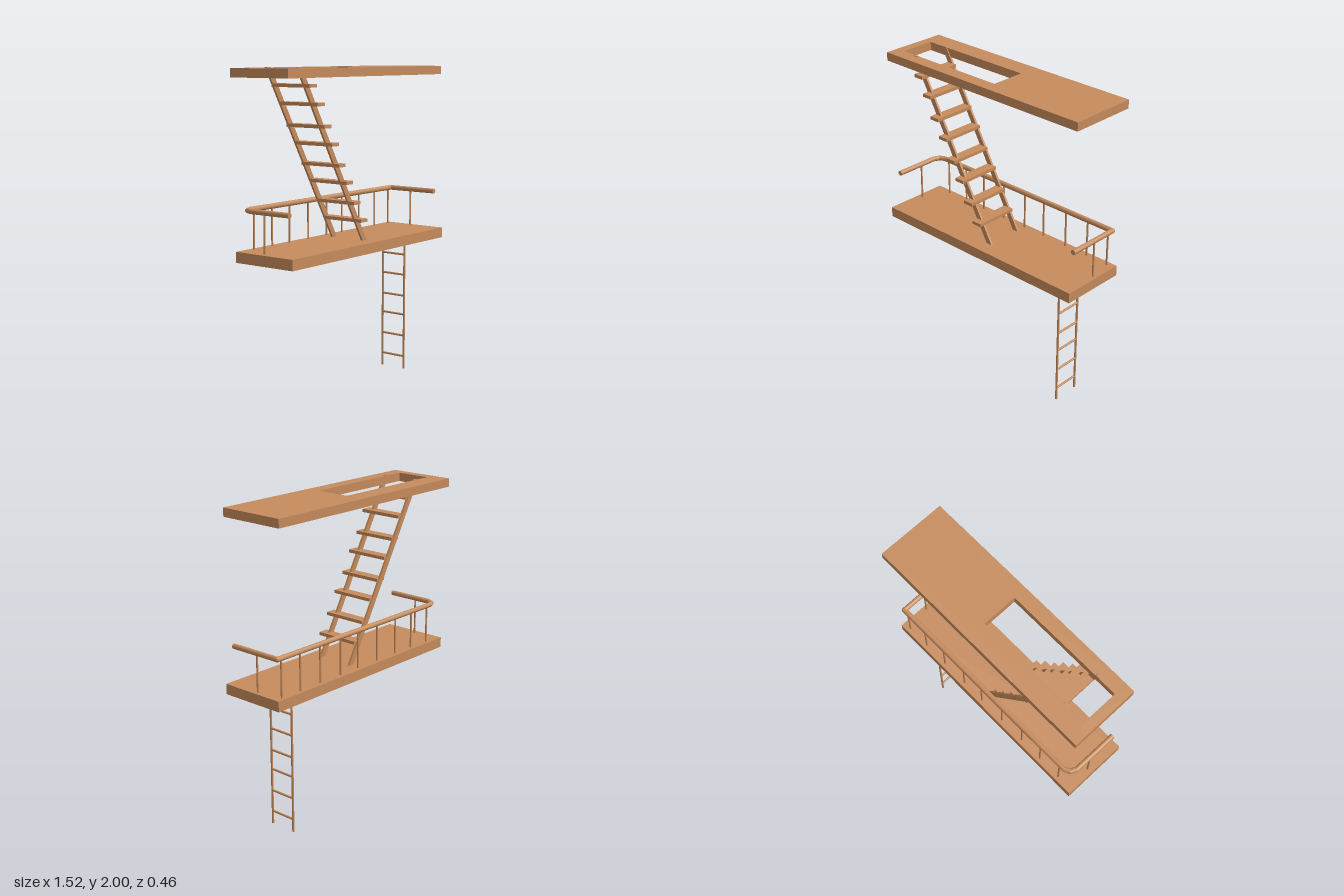
import * as THREE from 'three';

export function createModel() {
  const model = new THREE.Group();
  const wood = new THREE.MeshStandardMaterial({ color: 0xc68c5d });
  const V = (x, y, z) => new THREE.Vector3(x, y, z);

  function add(name, geometry, parent = model) {
    const mesh = new THREE.Mesh(geometry, wood);
    mesh.name = name;
    parent.add(mesh);
    return mesh;
  }
  function group(name) {
    const g = new THREE.Group();
    g.name = name;
    model.add(g);
    return g;
  }
  function box(name, parent, w, h, d, x, y, z) {
    add(name, new THREE.BoxGeometry(w, h, d), parent).position.set(x, y, z);
  }
  // round bar between two points
  function bar(name, parent, a, b, r) {
    const dir = b.clone().sub(a);
    const mesh = add(name, new THREE.CylinderGeometry(r, r, dir.length(), 14), parent);
    mesh.position.copy(a).add(b).multiplyScalar(0.5);
    mesh.quaternion.setFromUnitVectors(V(0, 1, 0), dir.normalize());
  }
  function polygon(points) {
    return new THREE.Shape(points.map(([x, y]) => new THREE.Vector2(x, y)));
  }

  // lower deck
  box('lowerDeck', model, 1.52, 0.065, 0.43, 0, 0.9075, 0.0135);

  // upper deck with stair opening (shape y is -z)
  const deck = polygon([[-0.76, -0.205], [0.76, -0.205], [0.76, 0.228], [-0.76, 0.228]]);
  deck.holes.push(polygon([[-0.70, -0.12], [-0.70, 0.102], [0.065, 0.102], [0.065, -0.12]]));
  const deckGeometry = new THREE.ExtrudeGeometry(deck, { depth: 0.053, bevelEnabled: false });
  deckGeometry.rotateX(-Math.PI / 2);
  add('upperDeck', deckGeometry).position.y = 1.943;

  // staircase: two slanted stringers and open treads
  const stairs = group('stairs');
  const stringer = polygon([[0.012, 0.938], [0.052, 0.938], [-0.557, 2], [-0.597, 2]]);
  for (const z of [-0.104, 0.13]) {
    const g = new THREE.ExtrudeGeometry(stringer, { depth: 0.014, bevelEnabled: false });
    add('stringer', g, stairs).position.z = z - 0.007;
  }
  const treads = [[-0.513, 1.897], [-0.442, 1.79], [-0.382, 1.66], [-0.312, 1.552],
    [-0.248, 1.425], [-0.175, 1.316], [-0.103, 1.188], [-0.032, 1.073]];
  for (const [x, y] of treads) box('tread', stairs, 0.066, 0.02, 0.285, x, y, 0.038);

  // handrail: back run with a rounded corner on one side, a sharp one on the other
  const railing = group('railing');
  const railY = 1.18, backZ = -0.173;
  const path = [V(-0.722, railY, 0.178), V(-0.722, railY, -0.118), V(-0.705, railY, -0.155),
    V(-0.668, railY, backZ), V(0.735, railY, backZ), V(0.735, railY, 0.178)];
  for (let i = 0; i < path.length - 1; i++) {
    bar('handrail', railing, path[i], path[i + 1], 0.016);
    if (i > 0) add('handrailJoint', new THREE.SphereGeometry(0.016, 14, 10), railing).position.copy(path[i]);
  }

  // balusters
  const posts = [-0.635, -0.475, -0.315, -0.138, 0.042, 0.2, 0.38, 0.55, 0.705].map((x) => [x, backZ]);
  posts.push([-0.725, -0.01], [0.735, -0.01]);
  for (const [x, z] of posts) bar('baluster', railing, V(x, 0.935, z), V(x, railY, z), 0.006);

  // ladder below the lower deck
  const ladder = group('ladder');
  for (const z of [-0.1, 0.073]) bar('ladderRail', ladder, V(0.552, 0, z), V(0.552, 0.88, z), 0.007);
  for (const y of [0.085, 0.225, 0.368, 0.495, 0.636, 0.771]) {
    bar('rung', ladder, V(0.552, y, -0.1), V(0.552, y, 0.073), 0.007);
  }
  return model;
}
